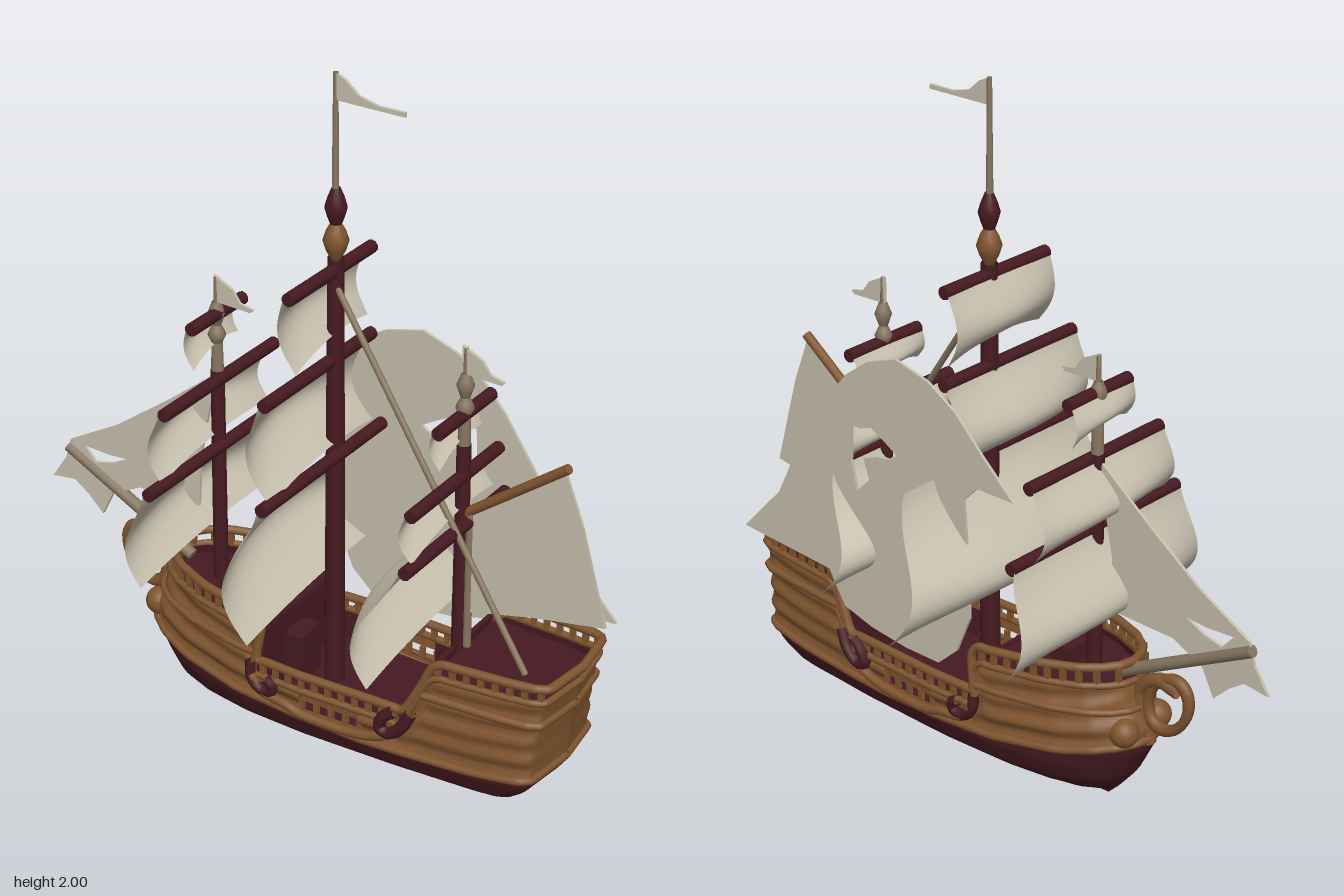
import * as THREE from 'three';

const mat = (name, color) => Object.assign(
  new THREE.MeshStandardMaterial({ color, side: THREE.DoubleSide }), { name });
const V = (x, y, z) => new THREE.Vector3(x, y, z);

// Piecewise linear lookup in a list of [key, value] pairs
function look(table, k) {
  if (k <= table[0][0]) return table[0][1];
  for (let i = 1; i < table.length; i++) {
    const [a, va] = table[i - 1], [b, vb] = table[i];
    if (k <= b) return va + (vb - va) * (k - a) / (b - a);
  }
  return table[table.length - 1][1];
}

// Hull lines: t runs from bow (0) to stern (1)
const BOW = [[0, -.38], [.04, -.42], [.1, -.47], [.2, -.52], [.27, -.53], [.35, -.49], [.46, -.46]];
const STERN = [[0, .5], [.03, .62], [.08, .74], [.12, .79], [.16, .82], [.3, .83], [.48, .86]];
const PLAN = [[0, 0], [.008, .045], [.03, .085], [.07, .125], [.15, .168], [.28, .2], [.45, .21], [.7, .2], [.9, .182], [.96, .172], [.985, .155], [1, 0]];
const FULL = [[0, 0], [.02, .3], [.04, .62], [.08, .87], [.14, 1], [.25, 1.04], [.35, .99], [.48, .95]];
const WATER = [[0, .225], [.12, .19], [.3, .16], [.6, .14], [.85, .15], [1, .17]];
const WALL = [[0, .405], [.32, .385], [.345, .25], [.7, .25], [.74, .425], [1, .435]];
const RAIL = [[0, .457], [.32, .43], [.345, .295], [.7, .295], [.74, .47], [1, .48]];
const keel = () => 0, water = t => look(WATER, t), wall = t => look(WALL, t), rail = t => look(RAIL, t);

function hullPoint(t, y, side = 1, off = 0) {
  const b = look(BOW, y), s = look(STERN, y);
  return V(b + (s - b) * t, y, side * Math.max(0, look(PLAN, t) * look(FULL, y) + off));
}

// Surface from a rule f(u, v), both 0..1
function surface(nu, nv, f) {
  const pos = [], idx = [], row = nv + 1;
  for (let i = 0; i <= nu; i++) for (let j = 0; j <= nv; j++) pos.push(...f(i / nu, j / nv).toArray());
  for (let i = 0; i < nu; i++) for (let j = 0; j < nv; j++) {
    const a = i * row + j, b = a + row;
    idx.push(a, b, a + 1, b, b + 1, a + 1);
  }
  const g = new THREE.BufferGeometry();
  g.setAttribute('position', new THREE.Float32BufferAttribute(pos, 3));
  g.setIndex(idx);
  g.computeVertexNormals();
  return g;
}

export function createModel() {
  const wood = mat('hull brown', 0x80552f), dark = mat('dark red wood', 0x461a21);
  const cloth = mat('sail cloth', 0xc6bfad), tan = mat('weathered wood', 0x877660);
  const ship = new THREE.Group();
  ship.name = 'sailingShip';
  const add = (name, g, m) => {
    const o = new THREE.Mesh(g, m);
    o.name = name;
    ship.add(o);
    return o;
  };
  const tube = (name, pts, r, m, n = 48) =>
    add(name, new THREE.TubeGeometry(new THREE.CatmullRomCurve3(pts), n, r, 8), m);
  const rod = (name, a, b, r, m) => {
    const o = add(name, new THREE.CylinderGeometry(r, r, a.distanceTo(b), 10), m);
    o.position.copy(a).lerp(b, .5);
    o.quaternion.setFromUnitVectors(V(0, 1, 0), b.clone().sub(a).normalize());
  };
  const box = (name, w, h, d, x, y, z, m) => add(name, new THREE.BoxGeometry(w, h, d), m).position.set(x, y, z);

  // Hull sides, with plank ripples above the waterline
  const strip = (name, t0, t1, lo, hi, m, side, off = 0, ripple = 0) => {
    const a0 = Math.acos(1 - 2 * t0), a1 = Math.acos(1 - 2 * t1);
    add(name, surface(Math.ceil(90 * (t1 - t0)) + 4, 20, (u, v) => {
      const t = (1 - Math.cos(a0 + (a1 - a0) * (side > 0 ? u : 1 - u))) / 2;
      const y = lo(t) + (hi(t) - lo(t)) * v;
      const p = hullPoint(t, y, side, off);
      p.z += side * ripple * Math.sin((y - water(t)) * 105) * Math.min(1, Math.abs(p.z) * 12);
      return p;
    }), m);
  };
  const g0 = .46, g1 = .6;
  for (const s of [1, -1]) {
    strip('lowerHull', 0, 1, keel, water, dark, s);
    strip('foreHullSide', 0, g0, water, wall, wood, s, 0, .006);
    strip('aftHullSide', g1, 1, water, wall, wood, s, 0, .006);
    strip('underGallery', g0, g1, water, () => .185, wood, s, 0, .004);
    strip('overGallery', g0, g1, () => .215, wall, wood, s);
    strip('innerForeWall', .01, g0, () => .16, wall, dark, s, -.014);
    strip('innerAftWall', g1, .99, () => .16, wall, dark, s, -.014);
    // Rails and wales
    const line = (t0, t1, y, off) => Array.from({ length: 71 }, (_, i) => {
      const t = t0 + (t1 - t0) * (1 - Math.cos(Math.PI * i / 70)) / 2;
      return hullPoint(t, y(t), s, off);
    });
    tube('topRail', line(0, 1, rail, .002), .013, wood, 160);
    tube('wallCap', line(0, 1, wall, .004), .01, wood, 160);
    tube('waterlineWale', line(0, 1, t => water(t) + .012, .004), .012, wood, 120);
    tube('foreWale', line(0, .33, t => .33 - t * .05, .004), .01, wood);
    tube('aftWale', line(.73, 1, () => .36, .004), .012, wood);
    // Balusters
    for (let t = .015; t < 1; t += .032) {
      if ((t > .31 && t < .355) || (t > .69 && t < .75)) continue;
      const p = hullPoint(t, wall(t), s), h = rail(t) - wall(t);
      box('baluster', .015, h, .014, p.x, p.y + h / 2, p.z, wood);
    }
    for (let t = g0; t <= g1 + .001; t += .035) {
      const p = hullPoint(t, .2, s, -.004);
      box('galleryPost', .014, .034, .014, p.x, .2, p.z, wood);
    }
    // Side gallery trim with scrolled ends
    const trim = (name, pts, r, m) => tube(name, pts.map(([x, y]) => hullPoint((x + .52) / 1.345, y, s, .012)), r, m);
    trim('galleryTrim', [[-.06, .25], [-.03, .205], [.05, .19], [.1, .175], [.2, .17], [.29, .175], [.35, .19], [.41, .22]], .014, wood);
    trim('foreScroll', [[-.07, .29], [-.06, .24], [-.03, .21], [.005, .215], [.01, .24], [-.01, .25]], .016, dark);
    trim('aftScroll', [[.45, .3], [.43, .25], [.39, .215], [.36, .225], [.37, .26], [.4, .29]], .018, dark);
    add('bowBall', new THREE.SphereGeometry(.042, 20, 14), wood).position.set(-.49, .27, s * .07);
  }

  // Decks and bulkheads
  const deck = (name, t0, t1, y) => add(name, surface(50, 2, (u, v) => {
    const p = hullPoint(t0 + (t1 - t0) * u, y, 1, -.006);
    return V(p.x, y, p.z * (2 * v - 1));
  }), dark);
  deck('foreDeck', .005, .33, .375);
  deck('mainDeck', .25, .8, .165);
  deck('aftDeck', .73, .995, .41);
  box('foreBulkhead', .014, .225, .37, -.055, .27, 0, dark);
  box('aftBulkhead', .014, .25, .38, .47, .29, 0, dark);
  box('deckCabin', .1, .05, .12, -.21, .4, .03, dark);
  box('deckSteps', .06, .15, .1, -.02, .24, .03, dark);

  // Bow: sprit, knee ring and stem
  rod('bowsprit', V(-.86, .64, 0), V(-.42, .41, 0), .018, tan);
  const ring = add('bowRing', new THREE.TorusGeometry(.075, .017, 10, 32), wood);
  ring.position.set(-.585, .365, 0);
  ring.rotation.z = .5;
  ring.scale.set(.85, 1.2, 1);
  tube('stem', [V(-.62, .42, 0), V(-.55, .43, 0), V(-.49, .38, 0), V(-.5, .3, 0), V(-.52, .22, 0)], .022, wood);

  // Masts, turned on the lathe
  const turned = (name, x, pts, m) => {
    add(name, new THREE.LatheGeometry(pts.map(p => new THREE.Vector2(...p)), 16), m).position.x = x;
  };
  const knob = (y, r, h) => [[.013, y - h], [r * .75, y - h * .5], [r, y], [r * .75, y + h * .5], [.012, y + h]];
  turned('mainMast', .07, [[.03, .16], [.026, 1], [.023, 1.48]], dark);
  turned('mainLowerKnob', .07, knob(1.53, .036, .055), wood);
  turned('mainUpperKnob', .07, knob(1.625, .031, .055), dark);
  turned('mainFlagpole', .068, [[.01, 1.66], [.007, 2], [0, 2]], tan);
  for (const [x, label] of [[-.32, 'fore'], [.475, 'mizzen']]) {
    turned(label + 'Mast', x, [[.022, .37], [.02, 1.04]], dark);
    turned(label + 'Topmast', x, [[.018, 1.04], [.016, 1.13], ...knob(1.15, .026, .03), ...knob(1.215, .025, .035)], tan);
    turned(label + 'Flagpole', x, [[.008, 1.24], [.006, 1.325]], tan);
  }

  // Square sails: yard at the top, belly toward the bow
  const sail = (name, x, [yt, yb], [a0, a1], [b0, b1], belly, drop, xb, yardEnds = [a0, a1]) => {
    rod(name + 'Yard', V(x + .015, yt, yardEnds[0]), V(x + .015, yt, yardEnds[1]), .019, dark);
    add(name + 'Sail', surface(24, 20, (u, r) => {
      const s = 2 * u - 1, k = r ** .8;
      const za = a0 + (a1 - a0) * u, zb = b0 + (b1 - b0) * u;
      const depth = belly * (1 - .5 * s * s) * Math.sin(Math.PI * r ** drop);
      return V(x + (xb - x) * r - depth + .02 * s * r, yt + (yb - yt) * r + .025 * (1 - s * s) * r * r, za + (zb - za) * k);
    }), cloth);
  };
  sail('mainTop', .055, [1.445, 1.235], [-.18, .23], [-.185, .23], .075, 1.1, .075);
  sail('mainMiddle', .05, [1.18, .91], [-.19, .34], [-.195, .37], .12, 1.3, .085);
  sail('mainLower', .08, [.905, .5], [-.33, .39], [-.48, .435], .185, 1.6, .05, [-.2, .4]);
  sail('foreTop', -.33, [1.215, 1.1], [-.12, .13], [-.13, .14], .04, 1.1, -.32);
  sail('foreMiddle', -.32, [1.02, .82], [-.26, .28], [-.28, .3], .085, 1.3, -.32);
  sail('foreLower', -.32, [.81, .525], [-.33, .36], [-.42, .385], .11, 1.5, -.34);
  sail('mizzenTop', .46, [1.13, 1.03], [-.14, .14], [-.14, .15], .04, 1.1, .47);
  sail('mizzenMiddle', .46, [.945, .825], [-.19, .27], [-.19, .3], .06, 1.2, .48);
  sail('mizzenLower', .48, [.81, .485], [-.2, .33], [-.36, .42], .16, 1.6, .42);

  // Flat cloth: fore-and-aft sails, great side sail and flags
  const shapeOf = (pts, C = THREE.Shape) => new C(pts.map(p => new THREE.Vector2(...p)));
  const sheet = (name, pts, z, hole) => {
    const s = shapeOf(pts);
    if (hole) s.holes.push(shapeOf(hole, THREE.Path));
    add(name, new THREE.ExtrudeGeometry(s, { depth: .009, bevelEnabled: false }), cloth).position.z = z - .0045;
  };
  sheet('jib', [[-.32, 1.03], [-.5, .89], [-.68, .76], [-.85, .665], [-.87, .6], [-.92, .525], [-.84, .535], [-.79, .5], [-.74, .45],
    [-.7, .53], [-.6, .58], [-.39, .585], [-.38, .75], [-.35, .9]], 0,
  [[-.8, .66], [-.71, .655], [-.64, .66], [-.7, .63], [-.76, .615]]);
  sheet('spanker', [[.5, .53], [.5, .84], [.78, 1.055], [.84, .9], [.92, .62], [.7, .58]], 0);
  sheet('greatSideSail', [[-.21, .93], [-.1, 1.03], [0, 1.13], [.1, 1.19], [.22, 1.22], [.33, 1.18], [.41, 1.12], [.48, 1.04], [.6, .86], [.7, .66], [.85, .5],
    [.5, .48], [.44, .38], [.33, .35], [.2, .335], [.07, .335], [0, .4], [-.05, .52], [-.04, .75], [-.03, .88], [-.08, .93]], -.21,
  [[.22, .93], [.27, .96], [.32, .985], [.36, .97], [.395, .97], [.4, .86], [.38, .77], [.33, .82], [.35, .88], [.3, .9], [.25, .91]]);
  sheet('mainFlag', [[.068, 1.925], [.068, 2], [.1, 1.985], [.14, 1.95], [.2, 1.935], [.28, 1.935], [.28, 1.922]], 0);
  for (const x of [-.325, .465])
    sheet('smallFlag', [[x, 1.25], [x, 1.33], [x + .06, 1.3], [x + .085, 1.265], [x + .13, 1.255], [x + .12, 1.245]], 0);
  rod('spankerGaff', V(.48, .83, 0), V(.79, 1.06, 0), .014, wood);
  rod('spankerPost', V(.5, .42, 0), V(.5, .85, 0), .012, tan);
  rod('backstay', V(.08, 1.4, .01), V(.75, .48, .12), .009, tan);

  ship.position.z = .025;
  const model = new THREE.Group();
  model.add(ship);
  return model;
}
